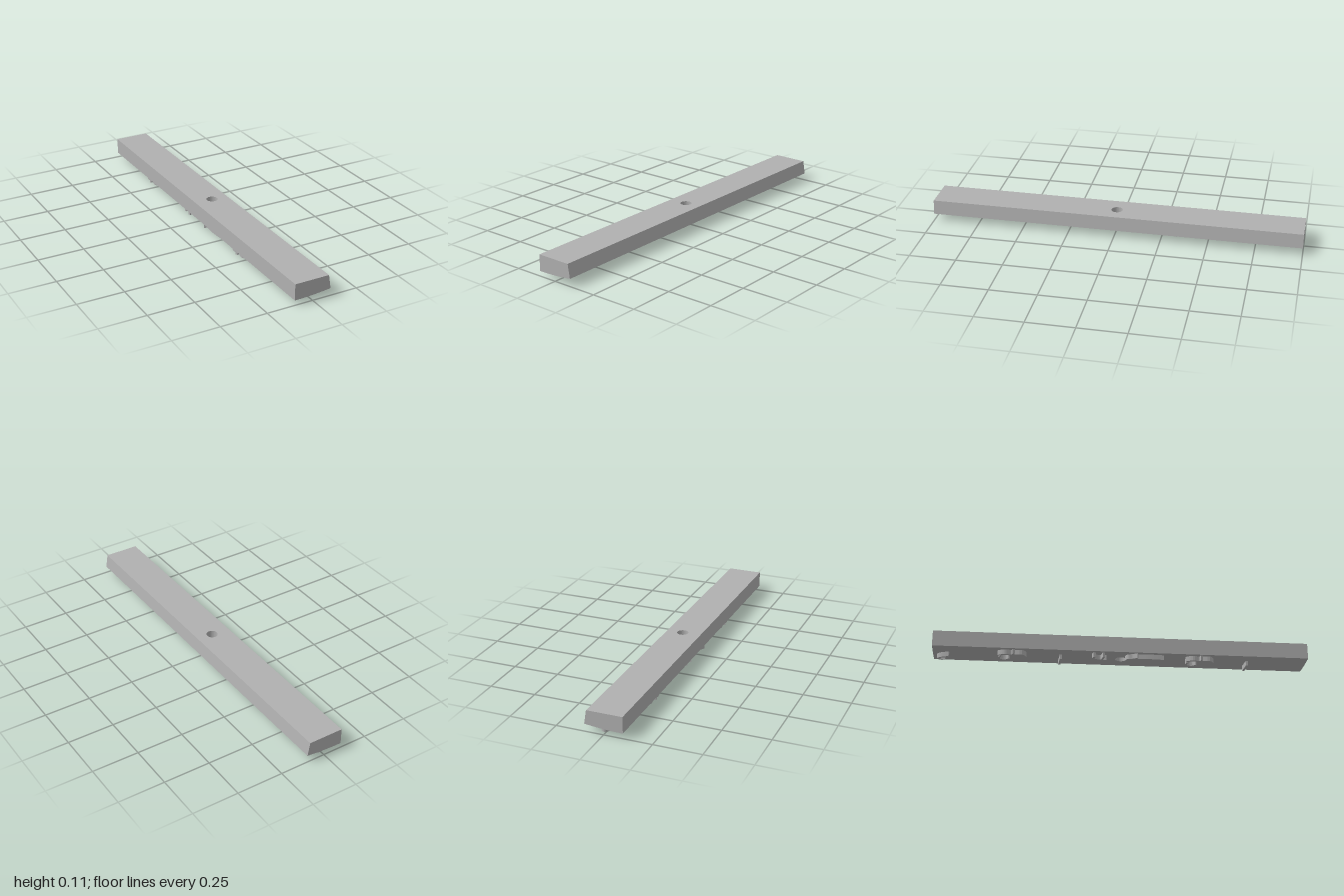
import * as THREE from 'three';

const TOP = 0.115, HALF = 0.1, TOP_RIGHT = 0.088, HOLE = 0.03, RELIEF = 0.027;

// Height of the curved underside at x
const under = x => 0.028 + 0.013 * ((x + HALF) / (2 * HALF)) ** 2;
const low = (x, z) => [x, under(x), z];
const high = (x, z) => [Math.min(x, TOP_RIGHT), TOP, z];

function createBar() {
  const pos = [];
  const quad = (a, b, c, d) => pos.push(...a, ...b, ...c, ...a, ...c, ...d);

  // Top and underside on either side of the hole
  const n = 12;
  const xs = Array.from({ length: n + 1 }, (_, i) => -HALF + 2 * HALF * i / n);
  for (const [z0, z1] of [[-1, -HALF], [HALF, 1]]) {
    for (let i = 0; i < n; i++) quad(low(xs[i], z0), low(xs[i + 1], z0), low(xs[i + 1], z1), low(xs[i], z1));
    quad(high(-HALF, z0), high(-HALF, z1), high(HALF, z1), high(HALF, z0));
  }

  // Square patch around the hole, and the wall of the hole
  const sides = 48, rings = 5;
  const at = (i, t) => {
    const a = i / sides * Math.PI * 2, c = Math.cos(a), s = Math.sin(a);
    const outer = HALF / Math.max(Math.abs(c), Math.abs(s));
    const r = HOLE + (outer - HOLE) * t;
    return [r * c, r * s];
  };
  for (let i = 0; i < sides; i++) {
    for (let k = 0; k < rings; k++) {
      const p = [at(i, k / rings), at(i, (k + 1) / rings), at(i + 1, (k + 1) / rings), at(i + 1, k / rings)];
      quad(...p.map(q => low(...q)));
      quad(...p.reverse().map(q => high(...q)));
    }
    const a = at(i, 0), b = at(i + 1, 0);
    quad(low(...a), low(...b), high(...b), high(...a));
  }

  // Long sides
  quad(low(HALF, -1), high(HALF, -1), high(HALF, 1), low(HALF, 1));
  quad(low(-HALF, 1), high(-HALF, 1), high(-HALF, -1), low(-HALF, -1));

  // Ends
  const topX = x => -HALF + (x + HALF) * (TOP_RIGHT + HALF) / (2 * HALF);
  for (let i = 0; i < n; i++) {
    const a = xs[i], b = xs[i + 1];
    quad(low(a, 1), low(b, 1), [topX(b), TOP, 1], [topX(a), TOP, 1]);
    quad(low(b, -1), low(a, -1), [topX(a), TOP, -1], [topX(b), TOP, -1]);
  }

  const g = new THREE.BufferGeometry();
  g.setAttribute('position', new THREE.Float32BufferAttribute(pos, 3));
  g.computeVertexNormals();
  return g;
}

// Raised strip under the bar that follows a path of [x, z] points
function createRidge(points, width) {
  const curve = new THREE.SplineCurve(points.map(p => new THREE.Vector2(...p)));
  const steps = points.length > 2 ? 16 : 6;
  const left = [], right = [];
  for (let i = 0; i <= steps; i++) {
    const p = curve.getPoint(i / steps), t = curve.getTangent(i / steps);
    const side = new THREE.Vector2(-t.y, t.x).multiplyScalar(width / 2);
    left.push(p.clone().add(side));
    right.push(p.clone().sub(side));
  }
  const shape = new THREE.Shape([...right, ...left.reverse()]);
  const g = new THREE.ExtrudeGeometry(shape, { depth: 1, bevelEnabled: false });
  const v = g.attributes.position;
  for (let i = 0; i < v.count; i++) {
    const x = v.getX(i), z = v.getY(i), d = v.getZ(i);
    v.setXYZ(i, x, under(x) + (d > 0.5 ? -RELIEF : 0.001), z);
  }
  g.computeVertexNormals();
  return g;
}

export function createModel() {
  const model = new THREE.Group();
  const grey = new THREE.MeshStandardMaterial({ color: 0xb0b0b0 });
  grey.name = 'grey';
  const add = (name, geometry, z = 0) => {
    const m = new THREE.Mesh(geometry, grey);
    m.name = name;
    m.position.z = z;
    model.add(m);
  };

  add('bar', createBar());

  // Ridges that occur twice along the bar
  for (const z of [0, -1]) {
    add('crossRidge', createRidge([[0.042, 0.672], [-0.04, 0.678]], 0.012), z);
    add('waveRidge', createRidge([[-0.05, 0.49], [-0.077, 0.47], [-0.07, 0.42], [-0.077, 0.38], [-0.06, 0.345]], 0.012), z);
    add('waveStem', createRidge([[-0.068, 0.42], [-0.09, 0.428]], 0.012), z);
    add('archRidge', createRidge([[-0.02, 0.405], [-0.003, 0.385], [-0.008, 0.355], [-0.035, 0.35], [-0.05, 0.36]], 0.011), z);
  }

  // Single ridges
  add('longRidge', createRidge([[-0.07, 0.225], [-0.074, 0.15], [-0.07, 0.06]], 0.012));
  add('hookRidge', createRidge([[-0.088, 0.085], [-0.072, 0.06], [-0.066, 0.035], [-0.045, 0.025]], 0.012));
  add('hornRidge', createRidge([[-0.086, 0.09], [-0.084, 0.145], [-0.045, -0.08], [-0.045, -0.12], [-0.06, -0.15], [-0.085, -0.145]].slice(2), 0.012));
  add('hornStem', createRidge([[-0.05, -0.105], [-0.088, -0.095]], 0.012));
  add('endHook', createRidge([[-0.022, -0.915], [-0.01, -0.95], [0.008, -0.972], [0.024, -0.96], [0.02, -0.935]], 0.012));
  return model;
}
